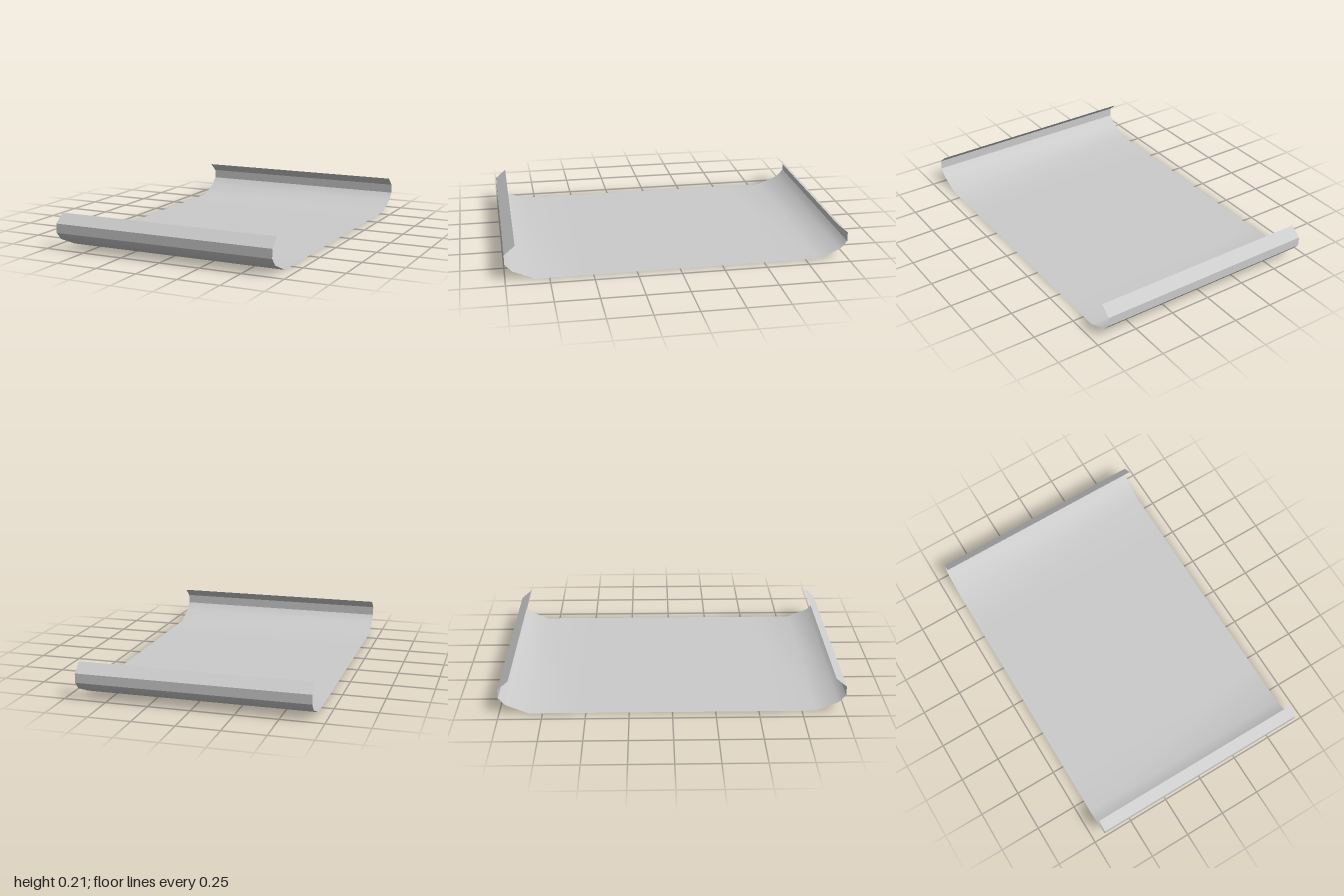
import * as THREE from 'three';

const HALF_WIDTH = 0.68;
const material = new THREE.MeshStandardMaterial({ color: 0xcccccc, side: THREE.DoubleSide });

// Thin sheet: a [z, y] profile drawn across the full width, smooth along its length
function sheet(name, profile) {
  const positions = [];
  const indices = [];
  profile.forEach(([z, y], i) => {
    positions.push(-HALF_WIDTH, y, z, HALF_WIDTH, y, z);
    if (i > 0) {
      const a = 2 * (i - 1);
      indices.push(a, a + 1, a + 3, a, a + 3, a + 2);
    }
  });
  const geometry = new THREE.BufferGeometry();
  geometry.setAttribute('position', new THREE.Float32BufferAttribute(positions, 3));
  geometry.setIndex(indices);
  geometry.computeVertexNormals();
  const mesh = new THREE.Mesh(geometry, material);
  mesh.name = name;
  return mesh;
}

// The same profile at the opposite end, reversed so the inside stays the front face
const mirror = (profile) => profile.map(([z, y]) => [-z, y]).reverse();

export function createModel() {
  const group = new THREE.Group();
  group.name = 'curledTray';

  // Flat floor that sweeps up smoothly at both ends
  const sweep = [[1, 0.1], [0.96, 0.055], [0.83, 0], [0.55, 0]];
  group.add(sheet('floor', [...sweep, ...mirror(sweep)]));

  // Upright rim and inward-folded lip at each end, with sharp creases
  const rim = [[1, 0.155], [1, 0.1]];
  const lip = [[0.937, 0.208], [1, 0.155]];
  group.add(sheet('frontRim', rim), sheet('backRim', mirror(rim)));
  group.add(sheet('frontLip', lip), sheet('backLip', mirror(lip)));

  return group;
}
